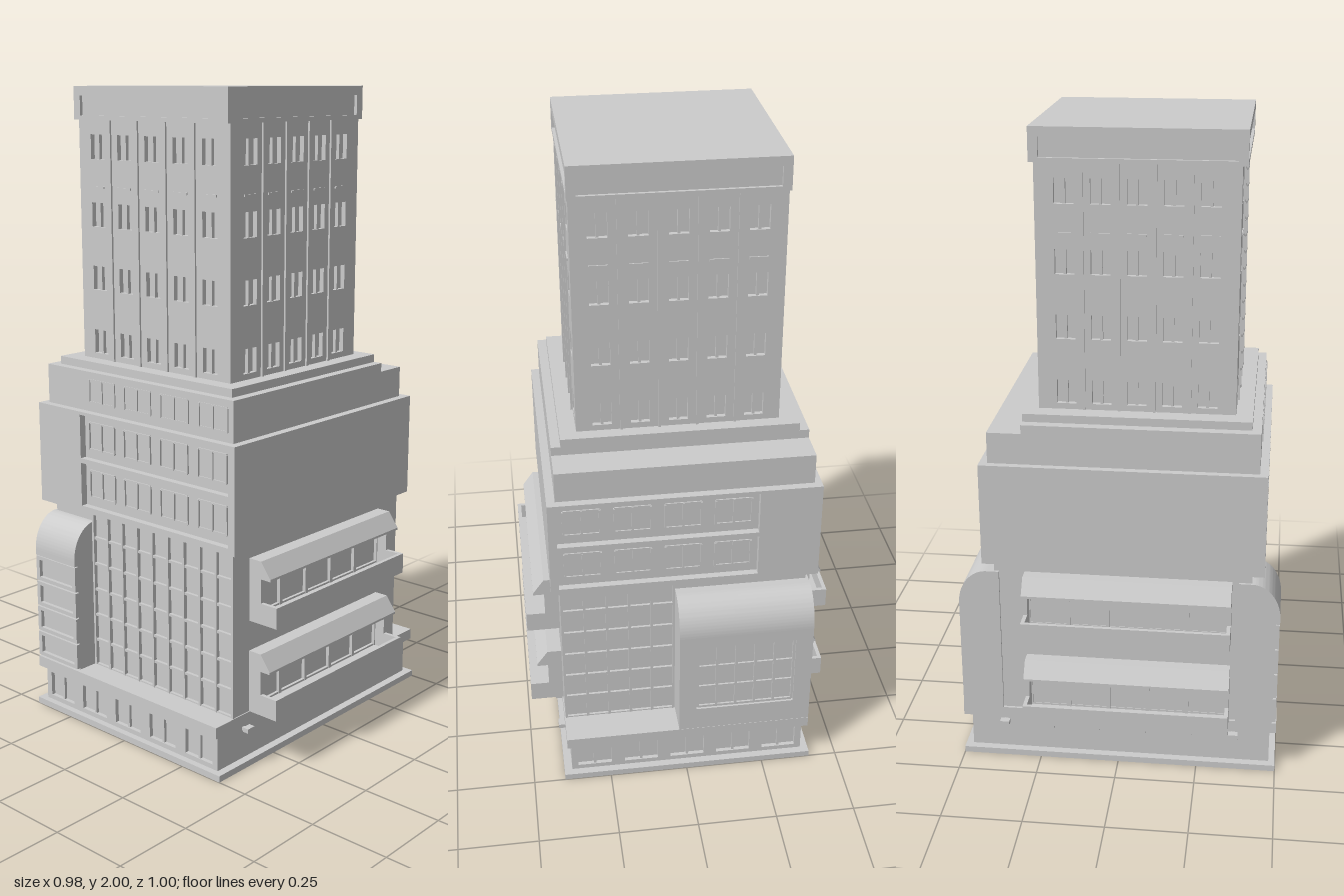
import * as THREE from 'three';
import { toCreasedNormals } from 'three/addons/utils/BufferGeometryUtils.js';

const mat = new THREE.MeshStandardMaterial({ color: 0xcccccc });

function add(parent, name, geo) {
  const m = new THREE.Mesh(geo, mat);
  m.name = name;
  parent.add(m);
  return m;
}

// Box given by its limits on each axis
function box(parent, name, x0, x1, y0, y1, z0, z1) {
  const m = add(parent, name, new THREE.BoxGeometry(x1 - x0, y1 - y0, z1 - z0));
  m.position.set((x0 + x1) / 2, (y0 + y1) / 2, (z0 + z1) / 2);
  return m;
}

// Upright wall panel whose outer face is at z = out, with rectangular openings [u0, u1, y0, y1]
function facade(parent, name, u0, u1, y0, y1, out, depth, holes) {
  const rect = (Type, a, b, c, d) => new Type([[a, c], [b, c], [b, d], [a, d]].map(p => new THREE.Vector2(...p)));
  const shape = rect(THREE.Shape, u0, u1, y0, y1);
  shape.holes = holes.map(h => rect(THREE.Path, ...h));
  const m = add(parent, name, new THREE.ExtrudeGeometry(shape, { depth, bevelEnabled: false }));
  m.position.z = out - depth;
}

// Profile drawn in (outward, height), swept along the face from u0 to u1
function sweep(parent, name, shape, u0, u1) {
  const geo = new THREE.ExtrudeGeometry(shape, { depth: u1 - u0, bevelEnabled: false, curveSegments: 16 });
  const m = add(parent, name, toCreasedNormals(geo, 0.5));
  m.rotation.y = -Math.PI / 2;
  m.position.x = u1;
}

// Evenly spaced bars making a glazing grid
function grid(parent, name, u0, u1, y0, y1, cols, rows, z0, z1, t = 0.008) {
  for (let i = 0; i <= cols; i++) {
    const u = u0 + (u1 - u0) * i / cols;
    box(parent, name, u - t / 2, u + t / 2, y0, y1, z0, z1);
  }
  for (let j = 0; j <= rows; j++) {
    const y = y0 + (y1 - y0) * j / rows;
    box(parent, name, u0, u1, y - t / 2, y + t / 2, z0, z1 - 0.002);
  }
}

// A row of n framed windows
function windowRow(parent, u0, u1, y0, y1, n, z0, z1) {
  const step = (u1 - u0) / n;
  for (let i = 0; i < n; i++) {
    const c = u0 + step * (i + 0.5);
    grid(parent, 'windowFrame', c - step * 0.36, c + step * 0.36, y0, y1, 2, 1, z0, z1, 0.006);
  }
}

// Tower wall: 5 x 4 recessed windows with centre bars, sills and slim fins
function towerWall(parent, u0, u1, out, spacing) {
  const mid = (u0 + u1) / 2, holes = [], rows = [1.22, 1.42, 1.615, 1.82];
  for (let i = -2; i <= 2; i++) {
    const c = mid + i * spacing;
    for (const y of rows) {
      holes.push([c - 0.029, c + 0.029, y - 0.037, y + 0.037]);
      box(parent, 'windowBar', c - 0.004, c + 0.004, y - 0.037, y + 0.037, out - 0.018, out - 0.004);
    }
    box(parent, 'windowSill', c - 0.028, c + 0.028, 1.695, 1.702, out - 0.01, out + 0.004);
    if (i < 2) box(parent, 'towerFin', c + spacing / 2 - 0.004, c + spacing / 2 + 0.004, 1.165, 1.9, out - 0.01, out + 0.006);
  }
  facade(parent, 'towerWall', u0, u1, 1.165, 1.9, out, 0.016, holes);
}

// Balcony with hollow tray, end jambs, window bars and sloped hood
function balcony(parent, u0, u1, y) {
  const w = 0.38;
  box(parent, 'balconyFloor', u0, u1, y, y + 0.015, w, 0.49);
  box(parent, 'balconyRail', u0, u1, y, y + 0.065, 0.478, 0.49);
  for (const [a, b] of [[u0, u0 + 0.012], [u1 - 0.012, u1]]) {
    box(parent, 'balconyRail', a, b, y, y + 0.065, w, 0.485);
    box(parent, 'balconyJamb', a, b, y, y + 0.145, w, 0.43);
  }
  grid(parent, 'balconyWindow', u0 + 0.01, u1 - 0.01, y + 0.015, y + 0.14, 5, 1, w, 0.396, 0.012);
  const hood = new THREE.Shape([[w, 0.14], [0.465, 0.14], [0.465, 0.147], [0.43, 0.195], [w, 0.195]]
    .map(([a, b]) => new THREE.Vector2(a, y + b)));
  sweep(parent, 'balconyHood', hood, u0, u1);
}

// Curved-top bay; its flat lower face is set back to take glazing
function bay(parent, u0, u1) {
  const s = new THREE.Shape();
  s.moveTo(0.37, 0.17);
  s.lineTo(0.486, 0.17);
  s.lineTo(0.486, 0.54);
  s.lineTo(0.499, 0.54);
  s.absellipse(0.41, 0.54, 0.089, 0.113, 0, Math.PI / 2, false);
  s.lineTo(0.37, 0.653);
  sweep(parent, 'curvedBay', s, u0, u1);
}

export function createModel() {
  const root = new THREE.Group();
  root.name = 'officeBuilding';
  const side = (name, angle) => {
    const g = new THREE.Group();
    g.name = name;
    g.rotation.y = angle;
    root.add(g);
    return g;
  };
  const front = side('frontFace', 0), back = side('backFace', Math.PI);
  const left = side('leftFace', Math.PI / 2), right = side('rightFace', -Math.PI / 2);

  // Stacked masses
  box(root, 'plinth', -0.41, 0.4, 0, 0.02, -0.5, 0.5);
  box(root, 'groundFloor', -0.385, 0.375, 0.02, 0.135, -0.463, 0.467);
  box(root, 'ledge', -0.4, 0.388, 0.135, 0.17, -0.5, 0.5);
  box(root, 'podium', -0.392, 0.385, 0.17, 0.69, -0.385, 0.41);
  box(root, 'upperBlock', -0.422, 0.412, 0.69, 1.015, -0.395, 0.425);
  box(root, 'setback', -0.4, 0.386, 1.015, 1.14, -0.288, 0.422);
  box(root, 'backTerrace', -0.4, 0.386, 1.015, 1.112, -0.392, -0.28);
  box(root, 'towerBase', -0.37, 0.357, 1.14, 1.165, -0.288, 0.395);
  box(root, 'towerCore', -0.298, 0.291, 1.165, 1.9, -0.231, 0.329);
  box(root, 'parapetCore', -0.307, 0.3, 1.9, 2, -0.25, 0.35);

  // Ground floor shopfronts
  for (const [g, u0, u1, out] of [[front, -0.385, 0.375, 0.48], [back, -0.375, 0.385, 0.476]]) {
    const holes = [];
    for (let i = 0; i < 5; i++) {
      const c = u0 + (u1 - u0) * (i + 0.5) / 5;
      holes.push([c - 0.055, c + 0.055, 0.035, 0.115]);
      box(g, 'shopBar', c - 0.004, c + 0.004, 0.035, 0.115, out - 0.015, out - 0.004);
    }
    facade(g, 'shopfront', u0, u1, 0.02, 0.135, out, 0.014, holes);
  }

  // Front curtain wall and glazed bay
  grid(front, 'curtainMullion', -0.21, 0.381, 0.17, 0.687, 9, 6, 0.4, 0.422);
  bay(front, -0.4, -0.215);
  for (let i = 0; i < 4; i++) {
    const y = 0.175 + i * 0.087;
    facade(front, 'bayPane', -0.4, -0.215, y, y + 0.082, 0.498, 0.014, [[-0.385, -0.23, y + 0.012, y + 0.07]]);
  }
  box(front, 'bayBand', -0.4, -0.215, 0.521, 0.54, 0.48, 0.499);

  // Back curtain wall and wide bay with a gridded window
  grid(back, 'curtainMullion', -0.381, -0.03, 0.17, 0.687, 5, 6, 0.38, 0.395);
  bay(back, -0.025, 0.4);
  facade(back, 'bayWall', -0.025, 0.4, 0.17, 0.54, 0.499, 0.014, [[0.03, 0.345, 0.25, 0.5]]);
  grid(back, 'bayWindow', 0.034, 0.341, 0.254, 0.496, 5, 3, 0.48, 0.494);

  // Upper block: two recessed window strips on front and back
  for (const [g, u0, u1, a, b, out] of [
    [front, -0.422, 0.412, -0.23, 0.387, 0.447],
    [back, -0.412, 0.422, -0.387, 0.23, 0.417]]) {
    const strips = [[a, b, 0.71, 0.85], [a, b, 0.865, 1.005]];
    facade(g, 'upperWall', u0, u1, 0.69, 1.015, out, 0.024, strips);
    for (const s of strips) windowRow(g, a, b, s[2] + 0.03, s[3] - 0.025, 4, out - 0.026, out - 0.016);
  }
  windowRow(front, -0.23, 0.386, 1.045, 1.115, 4, 0.415, 0.426);

  // Side balconies and small lamps
  for (const [g, u0, u1, wall] of [[left, -0.35, 0.29, 0.375], [right, -0.29, 0.35, 0.385]]) {
    for (const y of [0.17, 0.46]) balcony(g, u0, u1, y);
    for (let i = 0; i < 6; i++) {
      const u = -0.365 + i * 0.146;
      box(g, 'lampArm', u - 0.006, u + 0.006, 0.112, 0.122, wall - 0.01, wall + 0.02);
      box(g, 'lampHead', u - 0.015, u + 0.015, 0.114, 0.128, wall + 0.012, wall + 0.033);
    }
  }

  // Tower walls and framed parapet
  towerWall(front, -0.313, 0.306, 0.344, 0.115);
  towerWall(back, -0.306, 0.313, 0.246, 0.115);
  towerWall(left, -0.343, 0.245, 0.306, 0.105);
  towerWall(right, -0.245, 0.343, 0.313, 0.105);
  for (const [g, u0, u1, out] of [[front, -0.317, 0.31, 0.36], [back, -0.31, 0.317, 0.26],
    [left, -0.359, 0.259, 0.31], [right, -0.259, 0.359, 0.317]]) {
    facade(g, 'parapetFrame', u0, u1, 1.9, 2, out, 0.011, [[u0 + 0.027, u1 - 0.027, 1.913, 1.972]]);
  }
  return root;
}
